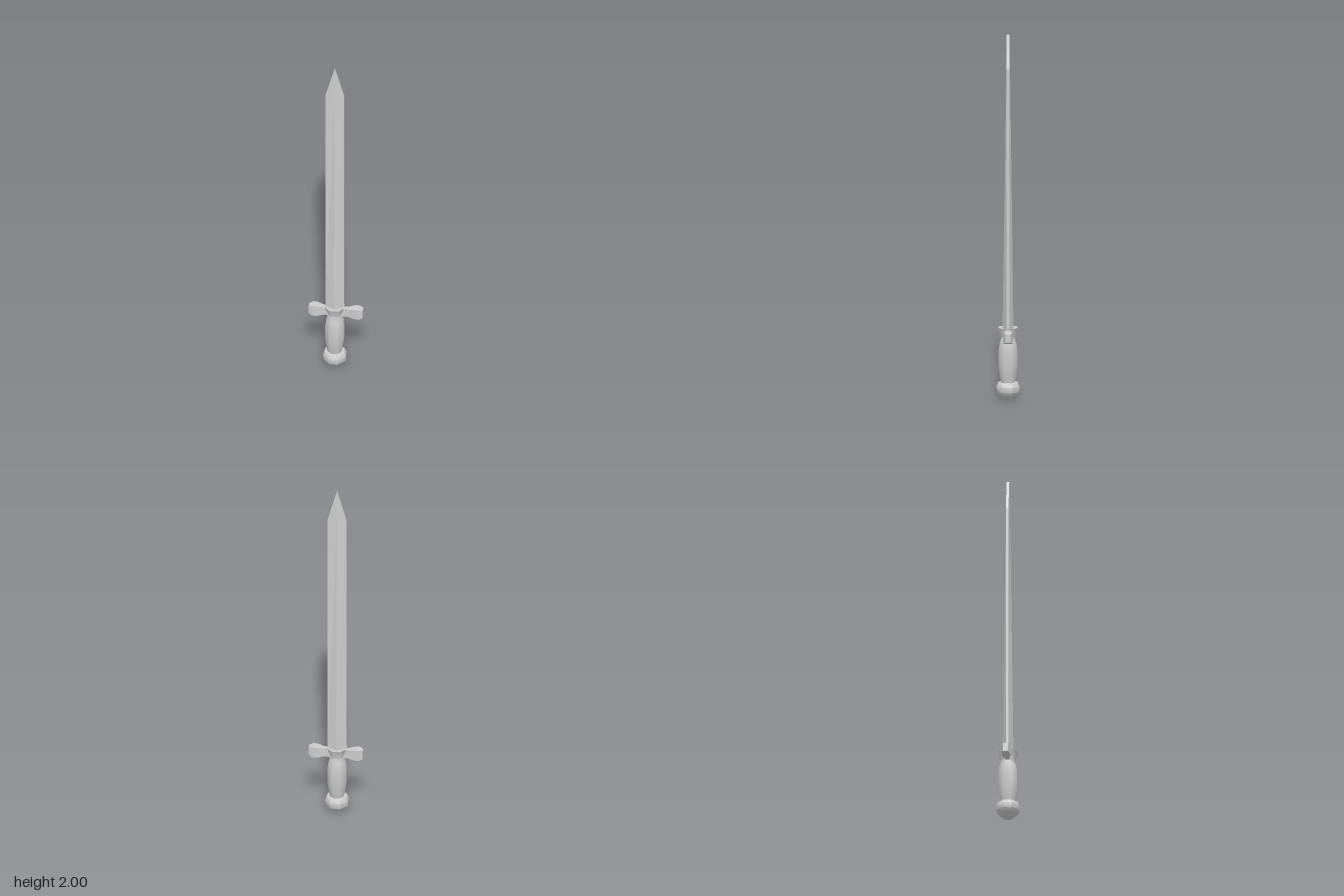
import * as THREE from 'three';
import { toCreasedNormals } from 'three/addons/utils/BufferGeometryUtils.js';

const AXIS = -0.006; // blade and grip sit slightly off the guard's middle

// Skin a series of equal-length point rings and cap both ends
function loft(rings, crease) {
  const n = rings[0].length, index = [];
  for (let i = 0; i < rings.length - 1; i++) {
    for (let j = 0; j < n; j++) {
      const a = i * n + j, b = i * n + (j + 1) % n;
      index.push(a, b, b + n, a, b + n, a + n);
    }
  }
  const top = (rings.length - 1) * n;
  for (let j = 1; j < n - 1; j++) {
    index.push(0, j + 1, j, top, top + j, top + j + 1);
  }
  const geo = new THREE.BufferGeometry();
  geo.setAttribute('position', new THREE.Float32BufferAttribute(rings.flat(2), 3));
  geo.setIndex(index);
  return toCreasedNormals(geo, crease);
}

// Eight-sided turned part with flats facing the axes; profile is [half width, height]
function turned(profile) {
  const pts = profile.map(([a, y]) => new THREE.Vector2(a / Math.cos(Math.PI / 8), y));
  return toCreasedNormals(new THREE.LatheGeometry(pts, 8, Math.PI / 8), 0.83);
}

export function createModel() {
  const model = new THREE.Group();
  const material = new THREE.MeshStandardMaterial({ color: 0xcccccc });
  const add = (name, geo, x = 0) => {
    const mesh = new THREE.Mesh(geo, material);
    mesh.name = name;
    mesh.position.x = x;
    model.add(mesh);
    return mesh;
  };

  // Blade: blunt-edged diamond section, thinning towards the tip
  const edge = 0.007;
  const bladeRings = [[0.36, 0.051, 0.03], [1.82, 0.051, 0.011], [2, 0.0005, 0.0072]]
    .map(([y, w, d]) => [
      [w, y, edge], [w, y, -edge], [0, y, -d],
      [-w, y, -edge], [-w, y, edge], [0, y, d],
    ]);
  add('blade', loft(bladeRings, 0.1), AXIS);

  // Grip: swelling handle that flares into the collar under the blade
  add('grip', turned([
    [0.036, 0.085], [0.042, 0.12], [0.05, 0.18], [0.05, 0.27],
    [0.044, 0.31], [0.034, 0.34], [0.052, 0.393], [0, 0.385],
  ]), AXIS);

  // Pommel
  add('pommel', turned([
    [0, 0], [0.022, 0.002], [0.044, 0.022], [0.06, 0.042],
    [0.061, 0.072], [0.052, 0.09], [0.034, 0.094], [0, 0.094],
  ]), AXIS);

  // Guard arms: pinched at the collar, paddle-shaped outside
  const armRings = [
    [0.02, 0.336, 0.385, 0.018], [0.055, 0.335, 0.385, 0.01],
    [0.08, 0.333, 0.387, 0.017], [0.1, 0.331, 0.391, 0.023],
    [0.127, 0.329, 0.393, 0.023], [0.147, 0.338, 0.386, 0.013],
  ].map(([x, lo, hi, d]) => [[x, hi, -d], [x, hi, d], [x, lo, d], [x, lo, -d]]);
  const armGeo = loft(armRings, 0.7);
  add('leftGuardArm', armGeo);
  add('rightGuardArm', armGeo).rotation.y = Math.PI;

  return model;
}
